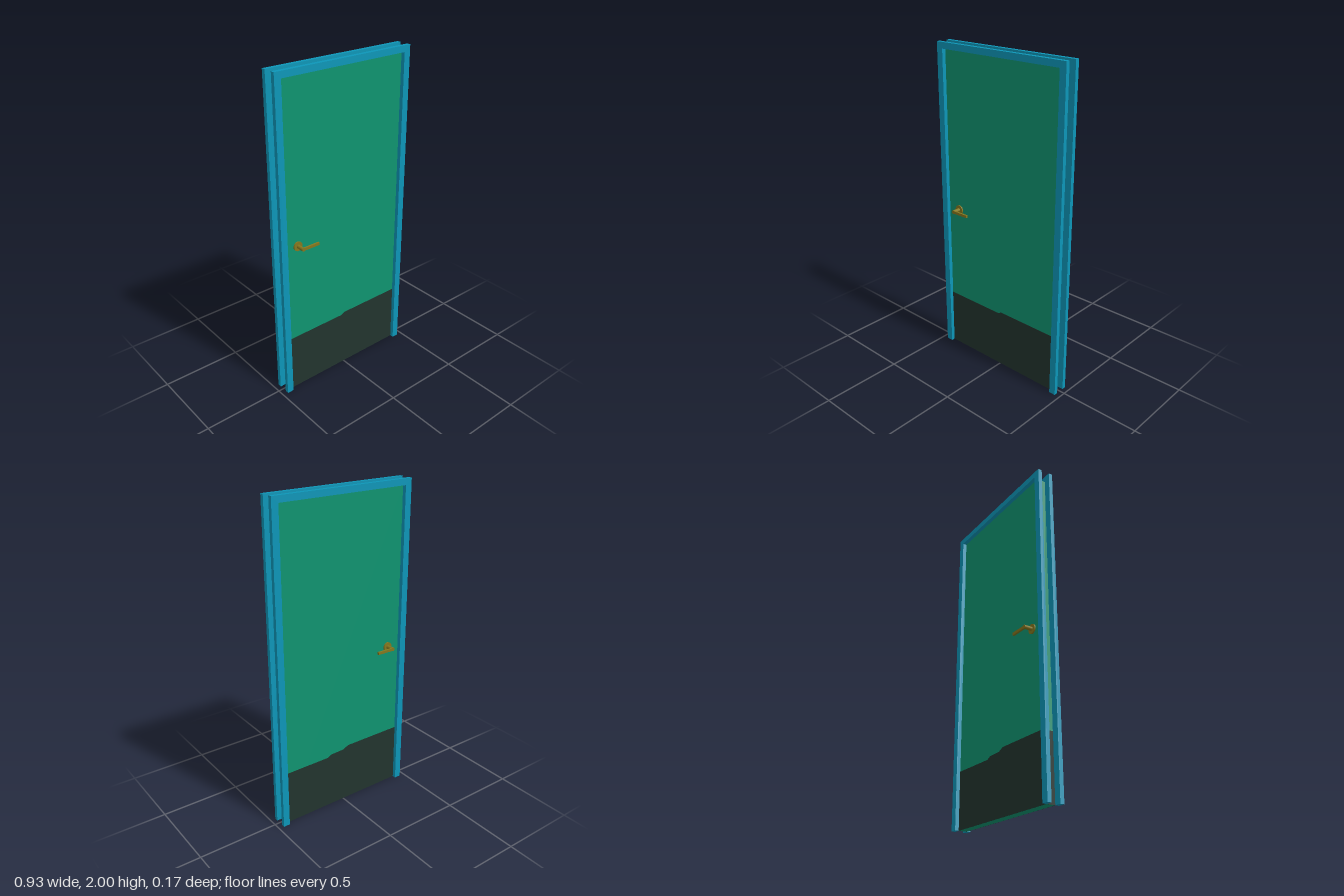
import * as THREE from 'three';

const mat = (name, color) => {
  const m = new THREE.MeshStandardMaterial({ color });
  m.name = name;
  return m;
};

export function createModel() {
  const blue = mat('frameBlue', 0x0d96b8);
  const green = mat('doorGreen', 0x0f9470);
  const dark = mat('kickDark', 0x22342e);
  const brass = mat('handleBrass', 0x85771f);

  const door = new THREE.Group();
  door.name = 'door';
  const add = (parent, name, geometry, material, x = 0, y = 0, z = 0) => {
    const m = new THREE.Mesh(geometry, material);
    m.name = name;
    m.position.set(x, y, z);
    parent.add(m);
    return m;
  };
  const extrude = (points, depth) => new THREE.ExtrudeGeometry(
    new THREE.Shape(points.map(([x, y]) => new THREE.Vector2(x, y))),
    { depth, bevelEnabled: false });

  const halfW = 0.425, top = 1.962, slabZ = 0.0265;

  // Door leaf
  add(door, 'leaf', new THREE.BoxGeometry(halfW * 2, top, slabZ * 2), green, 0, top / 2, 0);

  // Casing on both faces: two uprights and a head in one outline
  const W = 0.467, casingDepth = 0.0245;
  const casing = extrude([[-W, 0], [-halfW, 0], [-halfW, top], [halfW, top],
    [halfW, 0], [W, 0], [W, 2], [-W, 2]], casingDepth);
  add(door, 'frontCasing', casing, blue, 0, 0, slabZ);
  add(door, 'backCasing', casing, blue, 0, 0, -slabZ - casingDepth);

  // Dark lower area with a stepped upper edge, as thin plates
  const t = 0.001;
  add(door, 'frontKickPanel', extrude([[-halfW, 0], [halfW, 0], [halfW, 0.38],
    [0.005, 0.38], [-0.015, 0.367], [-halfW, 0.367]], t), dark, 0, 0, slabZ);
  add(door, 'backKickPanel', extrude([[-halfW, 0], [halfW, 0], [halfW, 0.348],
    [0.12, 0.348], [0.09, 0.362], [0, 0.365], [-0.04, 0.383], [-halfW, 0.383]], t),
  dark, 0, 0, -slabZ - t);
  for (const s of [1, -1]) {
    add(door, s > 0 ? 'leftKickEdge' : 'rightKickEdge',
      new THREE.BoxGeometry(t, 0.378, slabZ * 2), dark, s * (halfW + t / 2), 0.189, 0);
  }

  // Lever handle on each face: rose, neck and lever
  const handle = (name, s) => {
    const g = new THREE.Group();
    g.name = name;
    g.position.set(-0.34, 0.982, 0);
    const disc = (r, d, sides) => new THREE.CylinderGeometry(r, r, d, sides).rotateX(Math.PI / 2);
    add(g, 'rose', disc(0.029, 0.008, 20), brass, 0, 0, s * (slabZ + 0.004));
    add(g, 'neck', disc(0.0115, 0.058, 12), brass, 0, 0, s * (slabZ + 0.029));
    add(g, 'lever', new THREE.BoxGeometry(0.113, 0.016, 0.012), brass, 0.0565, 0, s * 0.0785);
    door.add(g);
  };
  handle('frontHandle', 1);
  handle('backHandle', -1);

  return door;
}
